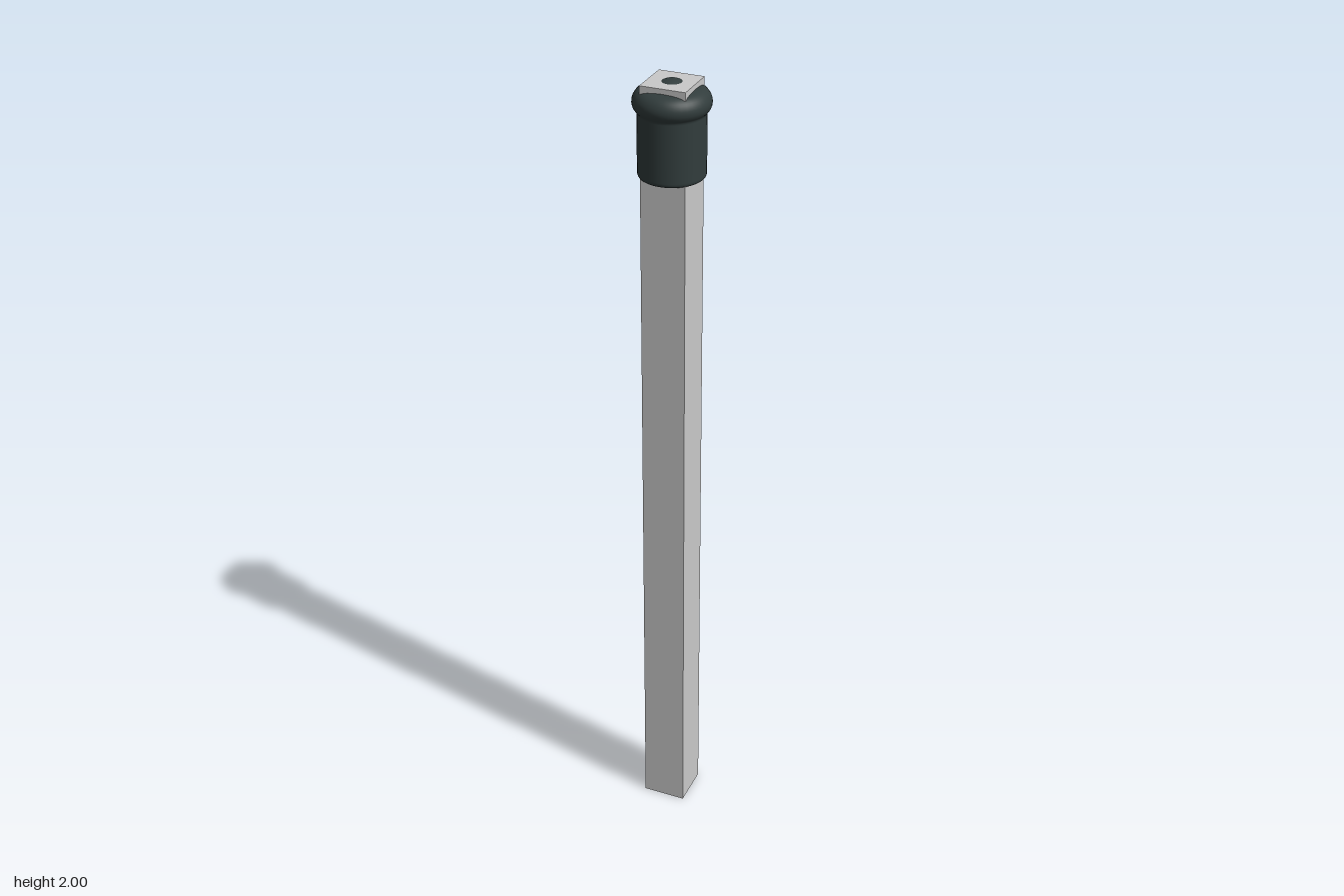
import * as THREE from 'three';

export function createModel() {
  const model = new THREE.Group();
  const paleGrey = new THREE.MeshStandardMaterial({ color: 0xcacaca });
  paleGrey.name = 'pale grey';
  const darkRubber = new THREE.MeshStandardMaterial({ color: 0x323d3d });
  darkRubber.name = 'dark rubber';

  const add = (name, geometry, material, y = 0) => {
    const mesh = new THREE.Mesh(geometry, material);
    mesh.name = name;
    mesh.position.y = y;
    model.add(mesh);
  };

  // Square bar, poking out through the domed cap
  const barTop = 1.995;
  add('bar', new THREE.BoxGeometry(0.109, barTop, 0.109), paleGrey, barTop / 2);

  // Cap: straight sleeve, rounded bead and shallow dome, apex just above the bar
  const profile = new THREE.Path();
  profile.moveTo(0, 1.775);
  profile.lineTo(0.072, 1.775);
  profile.quadraticCurveTo(0.0785, 1.776, 0.0785, 1.786);
  profile.lineTo(0.0785, 1.922);
  profile.quadraticCurveTo(0.0785, 1.928, 0.083, 1.932);
  profile.bezierCurveTo(0.092, 1.942, 0.091, 1.957, 0.084, 1.967);
  profile.quadraticCurveTo(0.076, 1.979, 0.06, 1.982);
  profile.quadraticCurveTo(0.036, 1.987, 0.023, 1.995);
  profile.quadraticCurveTo(0.012, 2.0, 0, 2.0);
  add('cap', new THREE.LatheGeometry(profile.getPoints(6), 40), darkRubber);

  return model;
}
